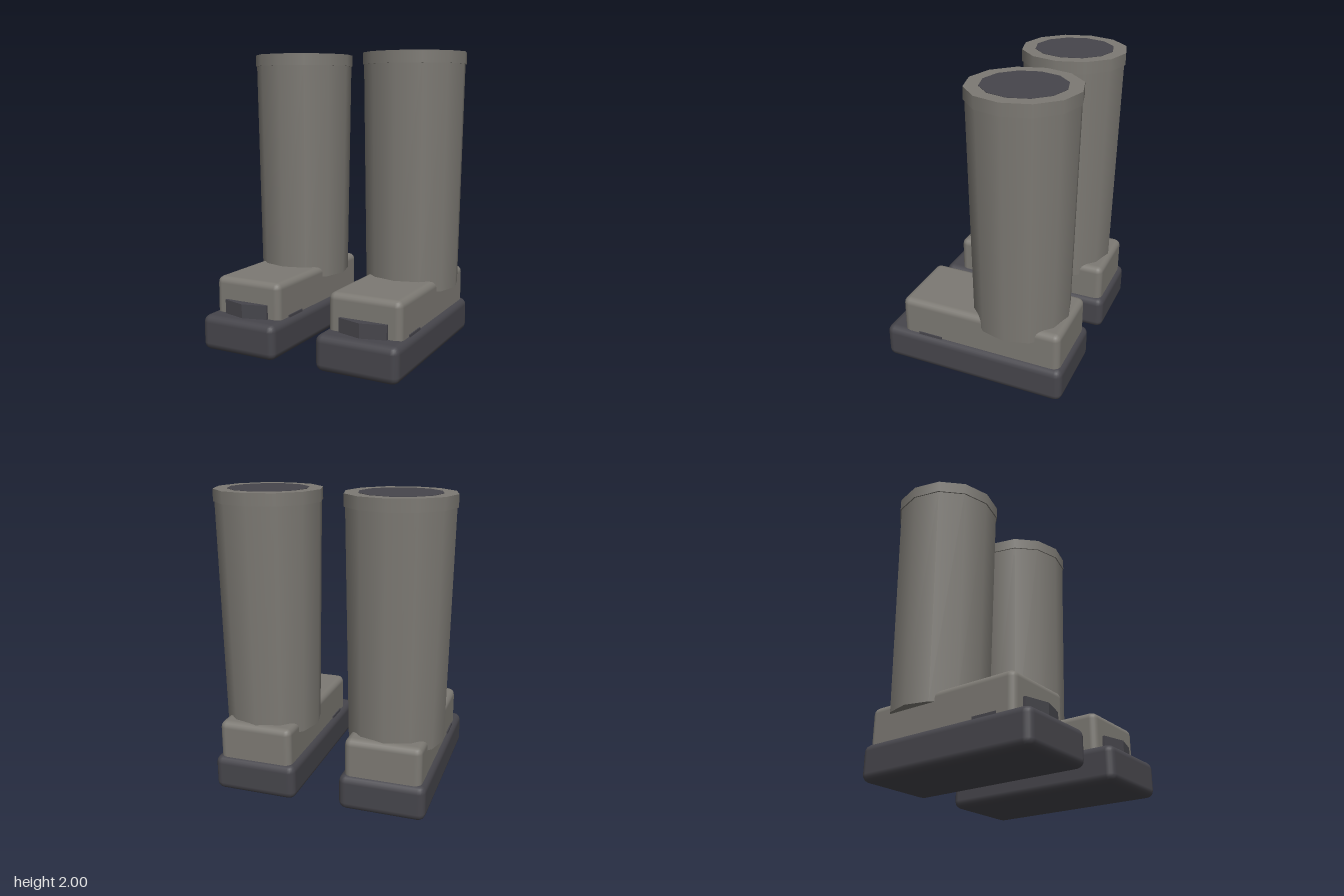
import * as THREE from 'three';
import { RoundedBoxGeometry } from 'three/addons/geometries/RoundedBoxGeometry.js';

export function createModel() {
  const model = new THREE.Group();
  model.name = 'bootPair';

  const leather = new THREE.MeshStandardMaterial({ color: 0x7c7973 });
  leather.name = 'warm grey leather';
  const rubber = new THREE.MeshStandardMaterial({ color: 0x46454b });
  rubber.name = 'dark rubber';

  const SIDES = 12;
  const SHAFT_Z = -0.26;

  function add(parent, name, geometry, material, x, y, z) {
    const mesh = new THREE.Mesh(geometry, material);
    mesh.name = name;
    mesh.position.set(x, y, z);
    parent.add(mesh);
    return mesh;
  }

  // Toe guard: shallow pointed plan, extruded upward
  const plan = new THREE.Shape([
    new THREE.Vector2(-0.165, -0.45),
    new THREE.Vector2(-0.165, -0.526),
    new THREE.Vector2(0, -0.572),
    new THREE.Vector2(0.165, -0.526),
    new THREE.Vector2(0.165, -0.45),
  ]);
  const toeGeometry = new THREE.ExtrudeGeometry(plan, { depth: 0.11, bevelEnabled: false });
  toeGeometry.rotateX(-Math.PI / 2);

  function createBoot(name) {
    const boot = new THREE.Group();
    boot.name = name;

    // Foot
    add(boot, 'sole', new RoundedBoxGeometry(0.57, 0.24, 1.275, 2, 0.05), rubber, 0, 0.125, 0);
    add(boot, 'foot', new RoundedBoxGeometry(0.505, 0.32, 1.12, 2, 0.045), leather, 0, 0.33, -0.05);
    add(boot, 'toeGuard', toeGeometry, rubber, 0, 0.23, 0);
    for (const side of [-1, 1]) {
      add(boot, 'sideTrim', new THREE.BoxGeometry(0.02, 0.02, 0.17), rubber, side * 0.25, 0.245, 0.305);
    }

    // Shaft, collar and dark opening
    add(boot, 'shaft', new THREE.CylinderGeometry(0.345, 0.32, 1.525, SIDES), leather, 0, 1.1775, SHAFT_Z);
    add(boot, 'collar', new THREE.CylinderGeometry(0.353, 0.353, 0.079, SIDES), leather, 0, 1.9585, SHAFT_Z);
    add(boot, 'opening', new THREE.CylinderGeometry(0.264, 0.264, 0.008, SIDES), rubber, 0, 1.996, SHAFT_Z);
    return boot;
  }

  for (const side of [-1, 1]) {
    const boot = createBoot(side > 0 ? 'leftBoot' : 'rightBoot');
    boot.position.x = side * 0.435;
    model.add(boot);
  }
  return model;
}
